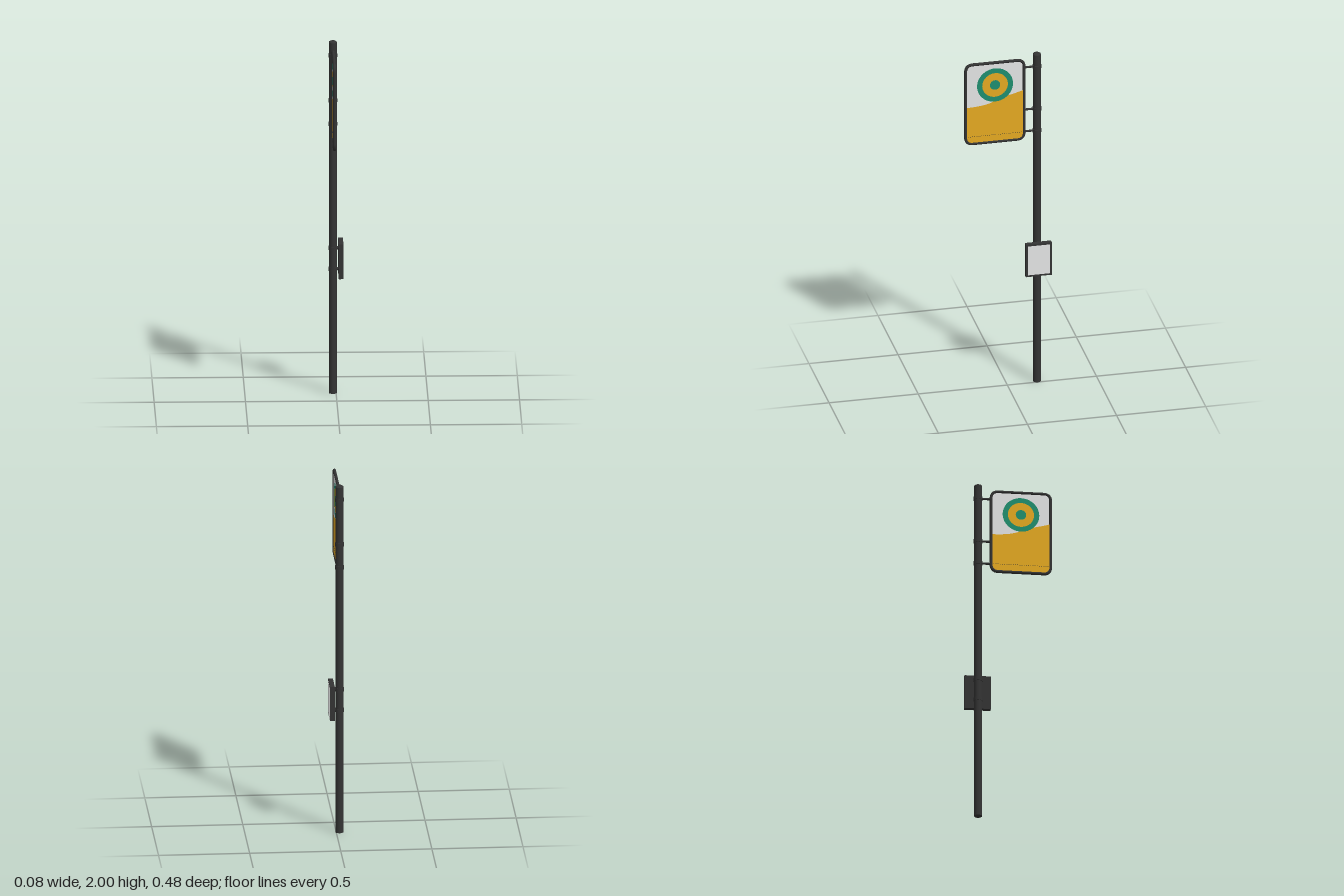
import * as THREE from 'three';

const mat = (name, color) => {
  const m = new THREE.MeshStandardMaterial({ color });
  m.name = name;
  return m;
};

export function createModel() {
  const dark = mat('dark metal', 0x343434);
  const white = mat('white enamel', 0xe6e7e7);
  const amber = mat('amber enamel', 0xe8ac22);
  const green = mat('green enamel', 0x209070);

  const root = new THREE.Group();
  root.name = 'stopSign';
  const add = (parent, name, geometry, material, x = 0, y = 0, z = 0) => {
    const m = new THREE.Mesh(geometry, material);
    m.name = name;
    m.position.set(x, y, z);
    parent.add(m);
    return m;
  };
  const poleX = -0.018, poleZ = -0.17;

  // pole with a shallow domed cap
  const profile = [[0, 0], [0.022, 0], [0.022, 1.99], [0.02, 1.995], [0.013, 1.999], [0, 2]];
  // split the side edge so the shaft stays crisp
  add(root, 'pole', new THREE.CylinderGeometry(0.022, 0.022, 1.99, 24), dark, poleX, 0.995, poleZ);
  add(root, 'poleCap', new THREE.LatheGeometry(
    profile.slice(2).map(([r, y]) => new THREE.Vector2(r, y)), 24), dark, poleX, 0, poleZ);

  // clamps around the pole, each with a short arm
  const clamp = (y) =>
    add(root, 'clamp', new THREE.CylinderGeometry(0.0245, 0.0245, 0.02, 24), dark, poleX, y, poleZ);
  for (const y of [1.917, 1.66, 1.527]) {
    clamp(y);
    add(root, 'signArm', new THREE.CylinderGeometry(0.006, 0.006, 0.07, 12), dark,
      poleX, y, -0.135).rotation.x = Math.PI / 2;
  }
  for (const y of [0.823, 0.705]) {
    clamp(y);
    add(root, 'caseArm', new THREE.CylinderGeometry(0.009, 0.009, 0.034, 12), dark,
      -0.001, y, poleZ).rotation.z = Math.PI / 2;
  }

  // sign board, faces pointing to both sides
  const sign = new THREE.Group();
  sign.name = 'signBoard';
  sign.position.set(poleX, 1.7235, 0.066);
  sign.rotation.y = Math.PI / 2;
  root.add(sign);

  const w = 0.1635, h = 0.24, r = 0.034;
  const outline = new THREE.Shape();
  outline.moveTo(-w + r, -h);
  outline.lineTo(w - r, -h);
  outline.absarc(w - r, -h + r, r, -Math.PI / 2, 0);
  outline.lineTo(w, h - r);
  outline.absarc(w - r, h - r, r, 0, Math.PI / 2);
  outline.lineTo(-w + r, h);
  outline.absarc(-w + r, h - r, r, Math.PI / 2, Math.PI);
  outline.lineTo(-w, -h + r);
  outline.absarc(-w + r, -h + r, r, Math.PI, Math.PI * 1.5);

  const board = new THREE.ExtrudeGeometry(outline, { depth: 0.006, bevelEnabled: false });
  add(sign, 'panel', board.translate(0, 0, -0.003), white);
  const loop = outline.getSpacedPoints(120).slice(0, -1).map((p) => new THREE.Vector3(p.x, p.y, 0));
  add(sign, 'signFrame', new THREE.TubeGeometry(
    new THREE.CatmullRomCurve3(loop, true), 160, 0.0085, 10, true), dark);

  // amber lower field with a rising wavy edge
  const field = new THREE.Shape();
  field.moveTo(-w + r, -h);
  field.lineTo(w - r, -h);
  field.absarc(w - r, -h + r, r, -Math.PI / 2, 0);
  field.lineTo(w, 0.06);
  field.bezierCurveTo(0.09, 0.035, 0.05, 0.035, 0.0, 0.01);
  field.bezierCurveTo(-0.04, -0.012, -0.1, -0.018, -w, -0.018);
  field.lineTo(-w, -h + r);
  field.absarc(-w + r, -h + r, r, Math.PI, Math.PI * 1.5);

  for (const turn of [0, Math.PI]) {
    const face = new THREE.Group();
    face.name = 'signFace';
    face.rotation.y = turn;
    sign.add(face);
    add(face, 'amberField', new THREE.ShapeGeometry(field, 16), amber, 0, 0, 0.004);
    add(face, 'greenRing', new THREE.RingGeometry(0.072, 0.101, 48), green, 0, 0.1065, 0.005);
    add(face, 'amberDisc', new THREE.CircleGeometry(0.073, 48), amber, 0, 0.1065, 0.0045);
    add(face, 'greenDot', new THREE.CircleGeometry(0.029, 32), green, 0, 0.1065, 0.0055);
    // row of tiny rivets along the lower arm
    for (let i = 0; i < 26; i++) {
      add(face, 'rivet', new THREE.BoxGeometry(0.005, 0.0025, 0.001), dark,
        -0.15 + i * 0.012, -0.1965, 0.0042);
    }
  }

  // timetable case beside the pole
  const timetable = new THREE.Group();
  timetable.name = 'timetableCase';
  timetable.position.set(0.026, 0.7635, -0.1685);
  root.add(timetable);
  add(timetable, 'caseBody', new THREE.BoxGeometry(0.026, 0.197, 0.145), dark);
  add(timetable, 'timetableSheet', new THREE.BoxGeometry(0.002, 0.175, 0.123), white, 0.0132, 0, 0);

  return root;
}
